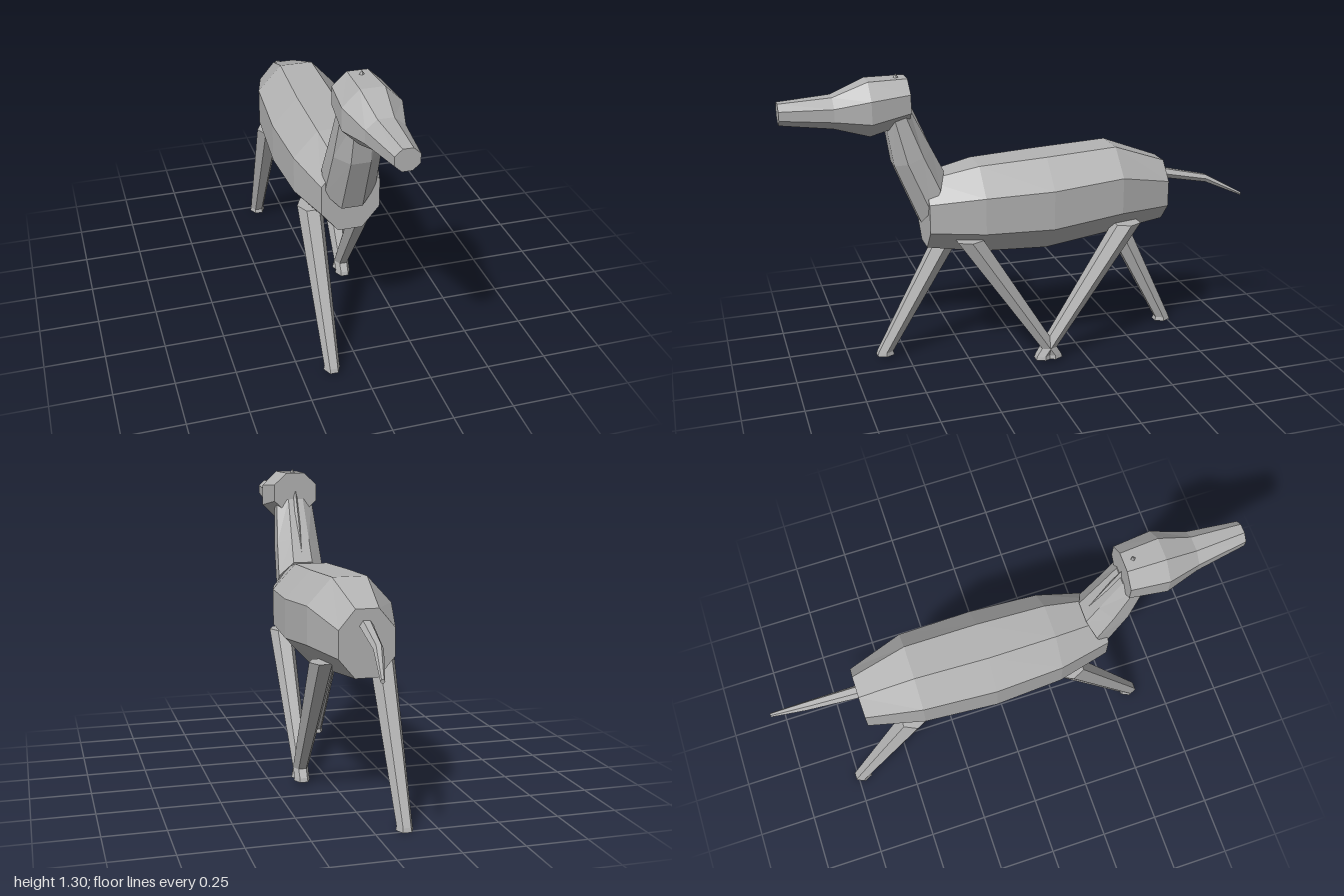
import * as THREE from 'three';

const coat = new THREE.MeshStandardMaterial({ color: 0xb3b3b3 });
coat.name = 'grey coat';

// One cross-section: centre, half-width across x, half-height along the tilted second axis.
function ring(x, y, z, rx, rv, tilt = 0) {
  return { x, y, z, rx, rv, tilt };
}

// Skin a row of cross-sections with flat facets and closed ends.
// flatSides puts faces (not corners) on the axes.
function loft(name, rings, sides, flatSides = true) {
  const grow = flatSides ? 1 / Math.cos(Math.PI / sides) : 1;
  const turn = flatSides ? Math.PI / sides : 0;
  const pts = rings.map((r) => Array.from({ length: sides }, (_, i) => {
    const a = turn + (i / sides) * Math.PI * 2;
    const v = Math.sin(a) * r.rv * grow;
    return [
      r.x + Math.cos(a) * r.rx * grow,
      r.y + v * Math.cos(r.tilt),
      r.z - v * Math.sin(r.tilt),
    ];
  }));
  const out = [];
  const tri = (a, b, c) => out.push(...a, ...b, ...c);
  const last = pts.length - 1;
  for (let i = 0; i < sides; i++) {
    const j = (i + 1) % sides;
    for (let k = 0; k < last; k++) {
      tri(pts[k][i], pts[k][j], pts[k + 1][j]);
      tri(pts[k][i], pts[k + 1][j], pts[k + 1][i]);
    }
    if (i > 0 && i < sides - 1) {
      tri(pts[0][0], pts[0][j], pts[0][i]);
      tri(pts[last][0], pts[last][i], pts[last][j]);
    }
  }
  const geometry = new THREE.BufferGeometry();
  geometry.setAttribute('position', new THREE.Float32BufferAttribute(out, 3));
  geometry.computeVertexNormals();
  const mesh = new THREE.Mesh(geometry, coat);
  mesh.name = name;
  return mesh;
}

// Slanted leg with level ends and a short flared hoof.
function leg(name, side, topZ, footZ, footY) {
  const x = side * 0.1225;
  const level = -Math.PI / 2;
  return loft(name, [
    ring(x, 0.605, topZ, 0.0525, 0.062, level),
    ring(x, footY + 0.017, footZ, 0.032, 0.037, level),
    ring(x, footY, footZ, 0.035, 0.043, level),
  ], 6, false);
}

export function createModel() {
  const model = new THREE.Group();
  model.name = 'animal';

  // Barrel body, rump to chest
  model.add(loft('body', [
    ring(0, 0.71, -0.625, 0.112, 0.133),
    ring(0, 0.742, -0.39, 0.173, 0.188),
    ring(0, 0.715, -0.08, 0.187, 0.2),
    ring(0, 0.715, 0.21, 0.172, 0.186),
    ring(0, 0.71, 0.433, 0.12, 0.146),
  ], 8));

  // Neck, bending upward from the chest
  model.add(loft('neck', [
    ring(0, 0.78, 0.403, 0.105, 0.117, 0.445),
    ring(0, 0.955, 0.478, 0.096, 0.083, 1.2),
    ring(0, 1.145, 0.537, 0.082, 0.053, 1.27),
  ], 8));

  // Head, back of skull to muzzle
  model.add(loft('head', [
    ring(0, 1.19, 0.49, 0.098, 0.09),
    ring(0.006, 1.17, 0.65, 0.114, 0.11),
    ring(0.009, 1.163, 0.79, 0.075, 0.063),
    ring(0.015, 1.172, 1.0, 0.047, 0.043),
  ], 8));

  // Low mane ridge along the nape, with a small tuft on the crown
  model.add(loft('mane', [
    ring(0, 0.92, 0.385, 0.014, 0.014, 1.1),
    ring(0, 1.04, 0.44, 0.02, 0.018, 1.1),
    ring(0, 1.19, 0.5, 0.008, 0.014, 1.1),
  ], 4, false));
  const tuft = new THREE.Mesh(new THREE.ConeGeometry(0.018, 0.03, 4).toNonIndexed(), coat);
  tuft.geometry.computeVertexNormals();
  tuft.name = 'crownTuft';
  tuft.position.set(0.004, 1.282, 0.53);
  model.add(tuft);

  // Tail, tip to root
  model.add(loft('tail', [
    ring(0.061, 0.657, -1.0, 0.009, 0.008),
    ring(0.025, 0.735, -0.84, 0.02, 0.019),
    ring(0, 0.782, -0.6, 0.029, 0.025),
  ], 6, false));

  // Legs in mid stride
  model.add(
    leg('frontRightLeg', -1, 0.27, 0.597, 0.015),
    leg('frontLeftLeg', 1, 0.27, -0.1, 0.015),
    leg('rearLeftLeg', 1, -0.43, -0.055, 0.015),
    leg('rearRightLeg', -1, -0.43, -0.725, 0),
  );
  return model;
}
